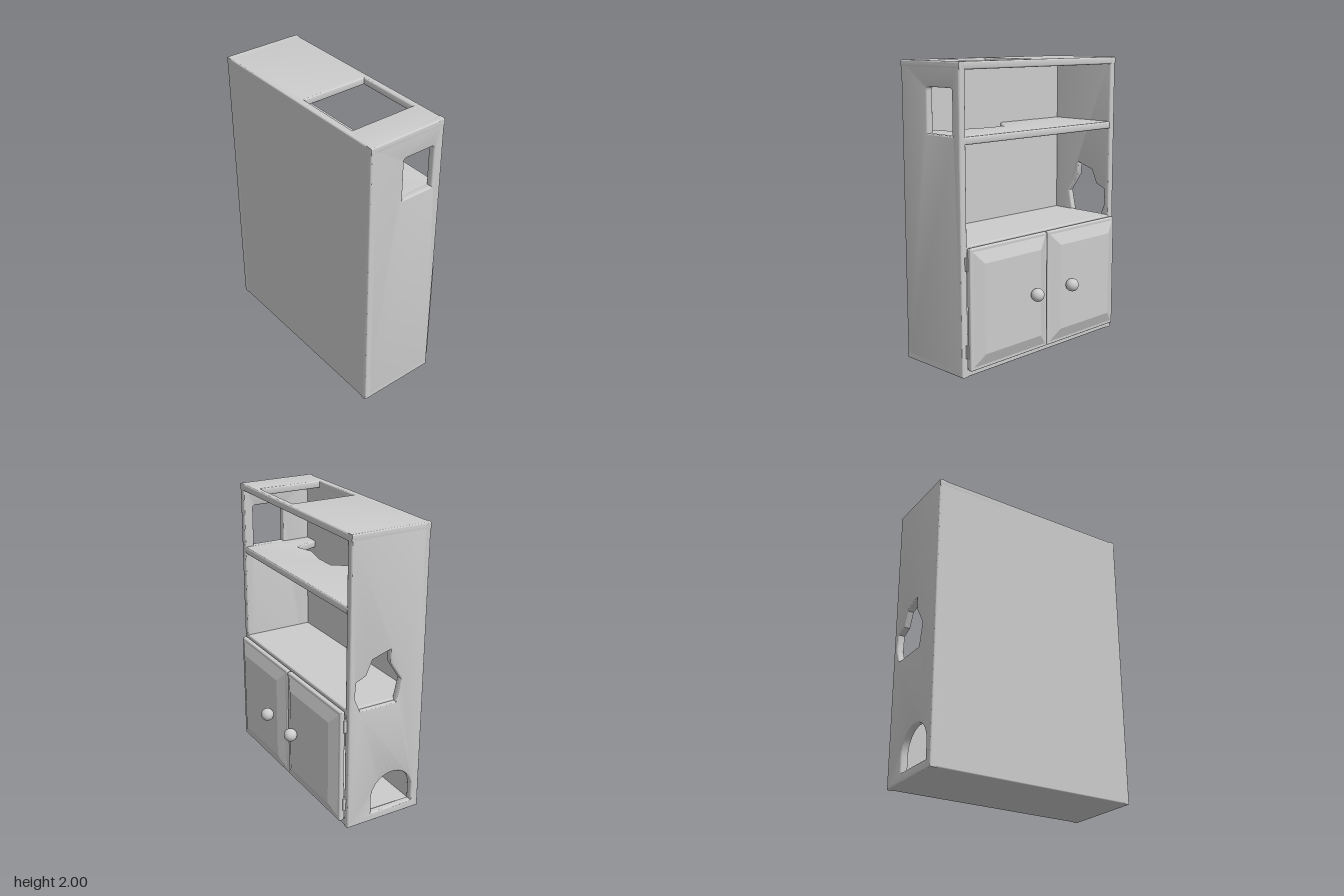
import * as THREE from 'three';
import { toCreasedNormals } from 'three/addons/utils/BufferGeometryUtils.js';
import { RoundedBoxGeometry } from 'three/addons/geometries/RoundedBoxGeometry.js';

const BACK = -0.36, FRONT = 0.2, HALF = 0.74, HEIGHT = 2, WALL = 0.05, ROUND = 0.01;

const points = (list) => list.map(([a, b]) => new THREE.Vector2(a, b));
const rect = (a0, b0, a1, b1) => points([[a0, b0], [a1, b0], [a1, b1], [a0, b1]]);

export function createModel() {
  const model = new THREE.Group();
  const material = new THREE.MeshStandardMaterial({ color: 0xcccccc });

  const add = (name, geometry, parent = model) => {
    const mesh = new THREE.Mesh(geometry, material);
    mesh.name = name;
    parent.add(mesh);
    return mesh;
  };

  // Board with softened edges, cut from an outline with optional holes
  const board = (outline, holes = []) => {
    const shape = new THREE.Shape(outline);
    shape.holes = holes.map((h) => new THREE.Path(h));
    const geometry = new THREE.ExtrudeGeometry(shape, {
      depth: WALL - 2 * ROUND, bevelThickness: ROUND, bevelSize: ROUND,
      bevelOffset: -ROUND, bevelSegments: 3, curveSegments: 8,
    });
    geometry.translate(0, 0, ROUND);
    return toCreasedNormals(geometry, 0.6);
  };

  const block = (name, x0, x1, y0, y1, z0, z1, parent) => {
    const g = new RoundedBoxGeometry(x1 - x0, y1 - y0, z1 - z0, 3, ROUND);
    g.translate((x0 + x1) / 2, (y0 + y1) / 2, (z0 + z1) / 2);
    return add(name, g, parent);
  };

  // Carcass: back, base and top with a square opening
  block('backPanel', BACK, BACK + WALL, 0, HEIGHT, -HALF, HALF);
  block('basePanel', BACK, FRONT, 0, WALL, -HALF, HALF);
  const top = board(rect(BACK, -HALF, FRONT, HALF), [rect(-0.31, 0.05, 0.155, 0.51)]);
  top.rotateX(Math.PI / 2);
  add('topPanel', top).position.y = HEIGHT;

  // End wall with a small window rounded at the top
  const r = 0.02;
  const windowHole = new THREE.Path();
  windowHole.moveTo(-0.108, 1.545);
  windowHole.lineTo(0.13, 1.545);
  windowHole.lineTo(0.13, 1.838 - r);
  windowHole.absarc(0.13 - r, 1.838 - r, r, 0, Math.PI / 2);
  windowHole.absarc(-0.108 + r, 1.838 - r, r, Math.PI / 2, Math.PI);
  const wall = rect(BACK, 0, FRONT, HEIGHT);
  add('windowWall', board(wall, [windowHole.getPoints(6)])).position.z = HALF - WALL;

  // Opposite end wall with an arched doorway and a jagged break
  const arch = new THREE.Path();
  arch.moveTo(-0.3, 0.06);
  arch.lineTo(0.02, 0.06);
  arch.lineTo(0.02, 0.17);
  arch.absarc(-0.14, 0.17, 0.16, 0, Math.PI);
  const jagged = points([
    [-0.15, 0.845], [0.12, 0.845], [0.16, 0.94], [0.15, 1.05], [0.08, 1.08],
    [0.035, 1.18], [-0.095, 1.22], [-0.1, 1.13], [-0.185, 1.0],
  ]);
  add('archWall', board(wall, [arch.getPoints(12), jagged])).position.z = -HALF;

  // Upper shelf, broken away along the back
  const brokenShelf = board(points([
    [-0.33, -0.71], [FRONT - 0.003, -0.71], [FRONT - 0.003, 0.71], [-0.33, 0.71],
    [-0.33, 0.585], [-0.13, 0.51], [-0.17, 0.38], [-0.13, 0.2], [-0.13, 0.05], [-0.33, -0.11],
  ]));
  brokenShelf.rotateX(Math.PI / 2);
  add('upperShelf', brokenShelf).position.y = 1.543;
  block('lowerShelf', -0.33, FRONT - 0.003, 0.81, 0.86, -0.71, 0.71);

  // Pair of doors with raised panels, knobs and hinges
  for (const side of [1, -1]) {
    const door = new THREE.Group();
    door.name = side > 0 ? 'leftDoor' : 'rightDoor';
    model.add(door);
    const near = side * 0.003, far = side * 0.703;
    block('doorSlab', 0.207, 0.243, 0.047, 0.85, Math.min(near, far), Math.max(near, far), door);

    // Raised panel: a box whose outer face is drawn inwards
    let panel = new THREE.BoxGeometry(0.04, 0.798, 0.695);
    const p = panel.attributes.position;
    for (let i = 0; i < p.count; i++) {
      if (p.getX(i) < 0) continue;
      p.setY(i, p.getY(i) - Math.sign(p.getY(i)) * 0.1);
      p.setZ(i, p.getZ(i) - Math.sign(p.getZ(i)) * 0.093);
    }
    panel = panel.toNonIndexed();
    panel.computeVertexNormals();
    add('raisedPanel', panel, door).position.set(0.255, 0.4485, side * 0.353);

    add('knob', new THREE.SphereGeometry(0.045, 32, 20), door).position.set(0.315, 0.46, side * 0.172);

    for (const y of [0.172, 0.747]) {
      add('hinge', new THREE.BoxGeometry(0.024, 0.086, 0.03), door).position.set(0.208, y, side * 0.697);
    }
  }
  return model;
}
